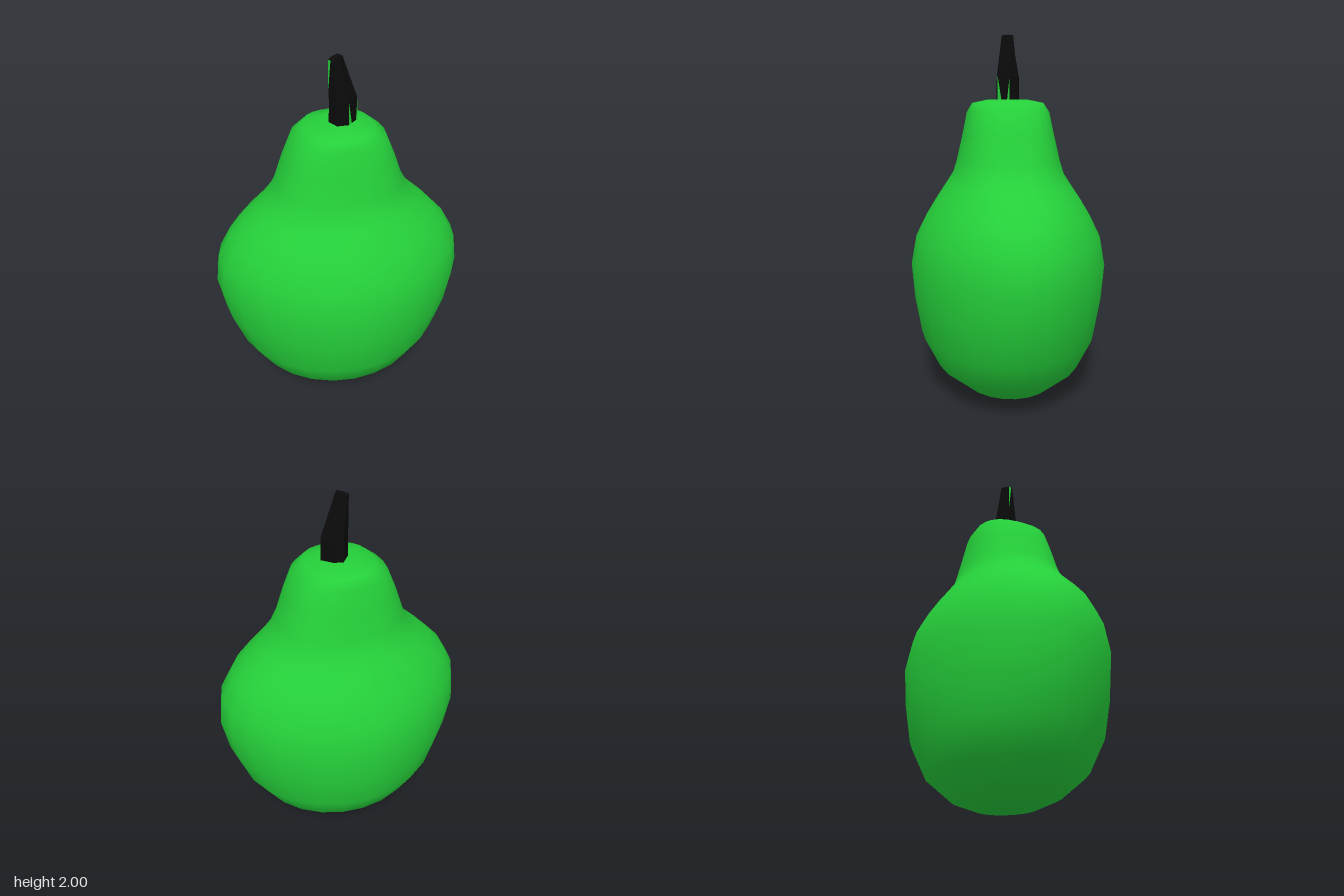
import * as THREE from 'three';

// Skins a stack of equal-length rings (bottom to top) and closes both ends.
function loft(rings) {
  const n = rings[0].length, last = rings.length - 1;
  const centre = (ring) => [0, 1, 2].map((k) => ring.reduce((s, p) => s + p[k], 0) / n);
  const points = rings.flat().concat([centre(rings[0]), centre(rings[last])]);
  const bottom = rings.length * n, top = bottom + 1, index = [];
  for (let i = 0; i < n; i++) {
    const k = (i + 1) % n;
    for (let j = 0; j < last; j++) {
      const a = j * n + i, b = j * n + k;
      index.push(a, a + n, b, b, a + n, b + n);
    }
    index.push(bottom, i, k, top, last * n + k, last * n + i);
  }
  const geometry = new THREE.BufferGeometry();
  geometry.setAttribute('position', new THREE.Float32BufferAttribute(points.flat(), 3));
  geometry.setIndex(index);
  geometry.computeVertexNormals();
  return geometry;
}

// Body rows: height, half width, half depth, roundness (2 = ellipse)
const BODY = [
  [0.005, 0.08, 0.07, 2], [0.02, 0.2, 0.16, 2], [0.07, 0.36, 0.275, 2], [0.18, 0.5, 0.41, 1.95],
  [0.35, 0.605, 0.495, 1.9], [0.55, 0.675, 0.53, 1.85], [0.75, 0.707, 0.545, 1.85],
  [0.91, 0.685, 0.515, 1.85], [1.03, 0.615, 0.455, 1.9], [1.12, 0.53, 0.4, 1.95],
  [1.2, 0.44, 0.345, 2.05], [1.26, 0.385, 0.305, 2.2], [1.33, 0.345, 0.283, 2.3],
  [1.47, 0.295, 0.25, 2.4], [1.59, 0.245, 0.225, 2.4], [1.64, 0.18, 0.195, 2.4], [1.658, 0.09, 0.11, 2.2],
];

function bodyRing([y, rx, rz, power], sides = 24) {
  const bend = (v) => Math.sign(v) * Math.abs(v) ** (2 / power);
  return Array.from({ length: sides }, (_, i) => {
    const a = (i / sides) * Math.PI * 2;
    return [rx * bend(Math.cos(a)), y, rz * bend(Math.sin(a))];
  });
}

// Six-sided stem, upright on the left and tapering in from the right
const STEM_BASE = [[0.1, 0], [0.04, 0.06], [-0.02, 0.06], [-0.05, 0], [0, -0.065], [0.05, -0.05]];
const STEM_TIP = [[0.02, 0], [0, 0.03], [-0.035, 0.03], [-0.05, 0], [-0.03, -0.03], [0, -0.03]];

export function createModel() {
  const green = new THREE.MeshStandardMaterial({ color: 0x25d03a });
  green.name = 'pear green';
  const black = new THREE.MeshStandardMaterial({ color: 0x0b0b0b });
  black.name = 'stem black';

  const model = new THREE.Group();
  model.name = 'pear';
  const add = (name, geometry, material) => {
    const mesh = new THREE.Mesh(geometry, material);
    mesh.name = name;
    model.add(mesh);
  };

  add('body', loft(BODY.map((row) => bodyRing(row))), green);

  const stemRings = [
    STEM_BASE.map(([x, z]) => [x, 1.63, z]),
    STEM_BASE.map(([x, z]) => [x * 0.97, 1.78, z * 0.95]),
    STEM_TIP.map(([x, z]) => [x, x < -0.02 ? 1.985 : 2, z]),
  ];
  const stem = loft(stemRings).toNonIndexed();
  stem.computeVertexNormals();
  add('stem', stem, black);

  // Green slivers lying on the stem faces: three corners, counter-clockwise from outside
  const sliver = (name, ...corners) => {
    const v = corners.map((c) => new THREE.Vector3(...c));
    const out = new THREE.Triangle(...v).getNormal(new THREE.Vector3()).multiplyScalar(0.002);
    const geometry = new THREE.BufferGeometry().setFromPoints(v.map((p) => p.add(out)));
    geometry.computeVertexNormals();
    add(name, geometry, green);
  };
  const [low, mid, tip] = stemRings;
  const mix = (a, b, t) => a.map((v, k) => v + (b[k] - v) * t);
  sliver('frontSliver', low[1], mix(low[1], low[0], 0.4), mid[1]);
  sliver('sideSliver', mix(low[0], low[1], 0.25), low[0], mid[0]);
  sliver('leftSliver', mix(mid[3], tip[3], 0.25), mix(tip[3], tip[2], 0.6), tip[3]);

  return model;
}
